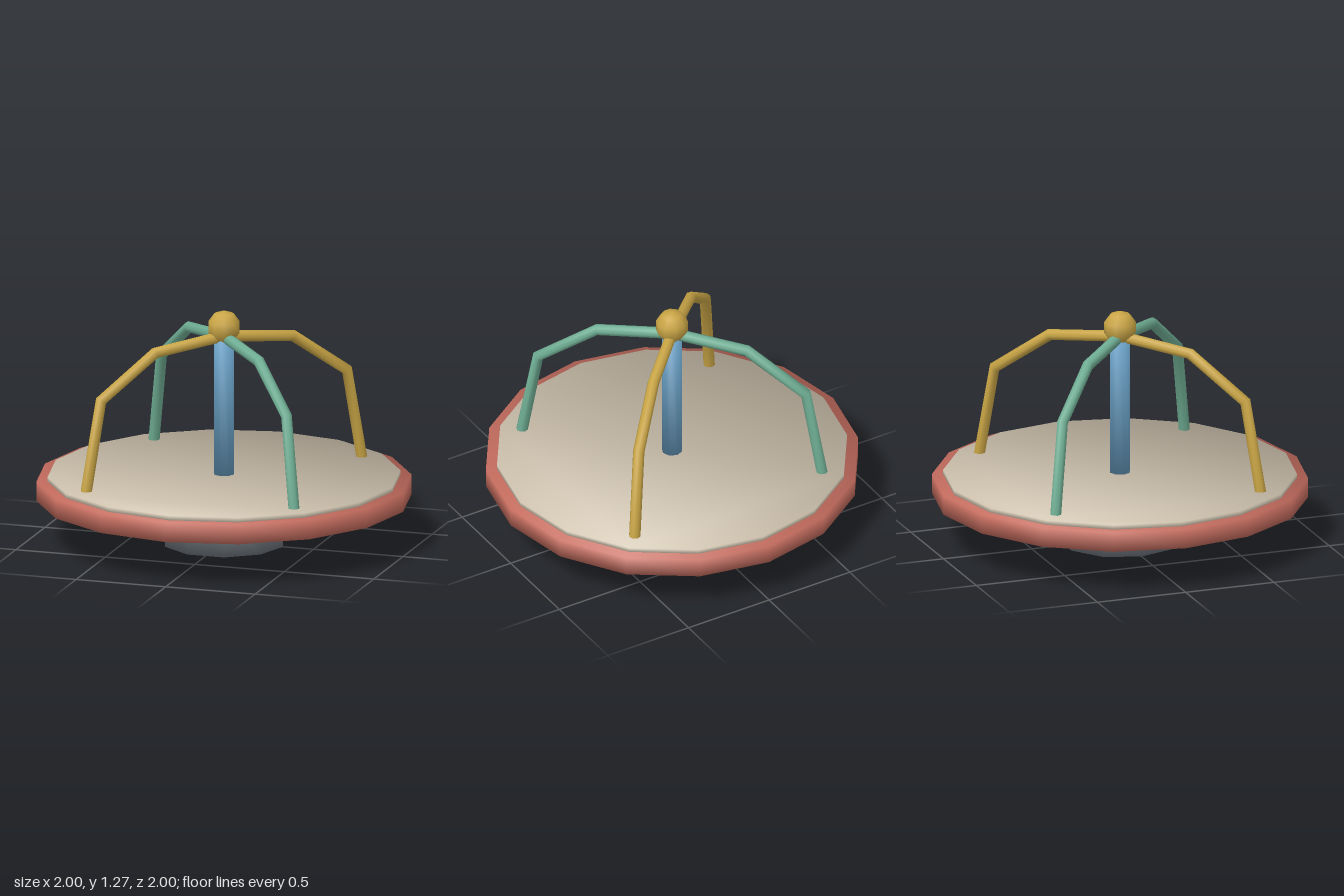
import * as THREE from 'three';

const mat = (name, color) => {
  const m = new THREE.MeshStandardMaterial({ color });
  m.name = name;
  return m;
};

// Polygonal disc from y0 to y1 whose normals blend softly over the edges
function disc(radius, y0, y1, sides) {
  const points = [];
  for (let i = 0; i < sides; i++) {
    const a = (i / sides) * Math.PI * 2;
    points.push(new THREE.Vector2(Math.cos(a) * radius, Math.sin(a) * radius));
  }
  const geo = new THREE.ExtrudeGeometry(new THREE.Shape(points), {
    depth: y1 - y0, bevelEnabled: false, steps: 1,
  });
  geo.rotateX(-Math.PI / 2).translate(0, y0, 0);
  const pos = geo.attributes.position;
  const n = new THREE.Vector3();
  for (let i = 0; i < pos.count; i++) {
    const up = pos.getY(i) > (y0 + y1) / 2 ? 1 : -1;
    n.set(pos.getX(i) / radius, up, pos.getZ(i) / radius).normalize();
    geo.attributes.normal.setXYZ(i, n.x, n.y, n.z);
  }
  return geo;
}

// Straight-segment path with mitred joints, for the bent rails
class BentPath extends THREE.Curve {
  constructor(points) {
    super();
    this.points = points;
  }
  index(t) {
    return Math.round(t * (this.points.length - 1));
  }
  getPointAt(t, target = new THREE.Vector3()) {
    return target.copy(this.points[this.index(t)]);
  }
  getTangentAt(t, target = new THREE.Vector3()) {
    const p = this.points;
    const i = this.index(t);
    target.set(0, 0, 0);
    if (i > 0) target.add(p[i].clone().sub(p[i - 1]).normalize());
    if (i < p.length - 1) target.add(p[i + 1].clone().sub(p[i]).normalize());
    return target.normalize();
  }
}

export function createModel() {
  const model = new THREE.Group();
  model.name = 'merryGoRound';

  const grey = mat('base grey', 0x6e757c);
  const red = mat('rim red', 0xc46c5e);
  const tan = mat('deck tan', 0xcdc1ad);
  const blue = mat('post blue', 0x689fc4);
  const yellow = mat('rail yellow', 0xc9a545);
  const green = mat('rail green', 0x6fae94);

  const add = (name, geo, material) => {
    const mesh = new THREE.Mesh(geo, material);
    mesh.name = name;
    model.add(mesh);
    return mesh;
  };

  // Ground base, platform and deck
  add('base', disc(0.33, 0, 0.21, 10), grey);
  add('platformRim', disc(1, 0.245, 0.35, 16), red);
  add('deck', disc(0.94, 0.345, 0.375, 16), tan);

  // Centre post with its ball
  add('centrePost', disc(0.056, 0.35, 1.14, 8), blue);
  const ball = new THREE.SphereGeometry(0.09, 10, 5);
  add('topBall', ball.translate(0, 1.18, 0), yellow);

  // Four bent rails from the deck to the post, opposite pairs share a colour
  const profile = [[0.583, 0.35], [0.518, 0.86], [0.29, 1.085], [0, 1.13]];
  const corners = [
    ['railFrontLeft', 1, 1, green],
    ['railFrontRight', -1, 1, yellow],
    ['railBackRight', -1, -1, green],
    ['railBackLeft', 1, -1, yellow],
  ];
  for (const [name, sx, sz, material] of corners) {
    const path = new BentPath(profile.map(([d, y]) => new THREE.Vector3(d * sx, y, d * sz)));
    add(name, new THREE.TubeGeometry(path, profile.length - 1, 0.031, 8), material);
  }

  return model;
}
